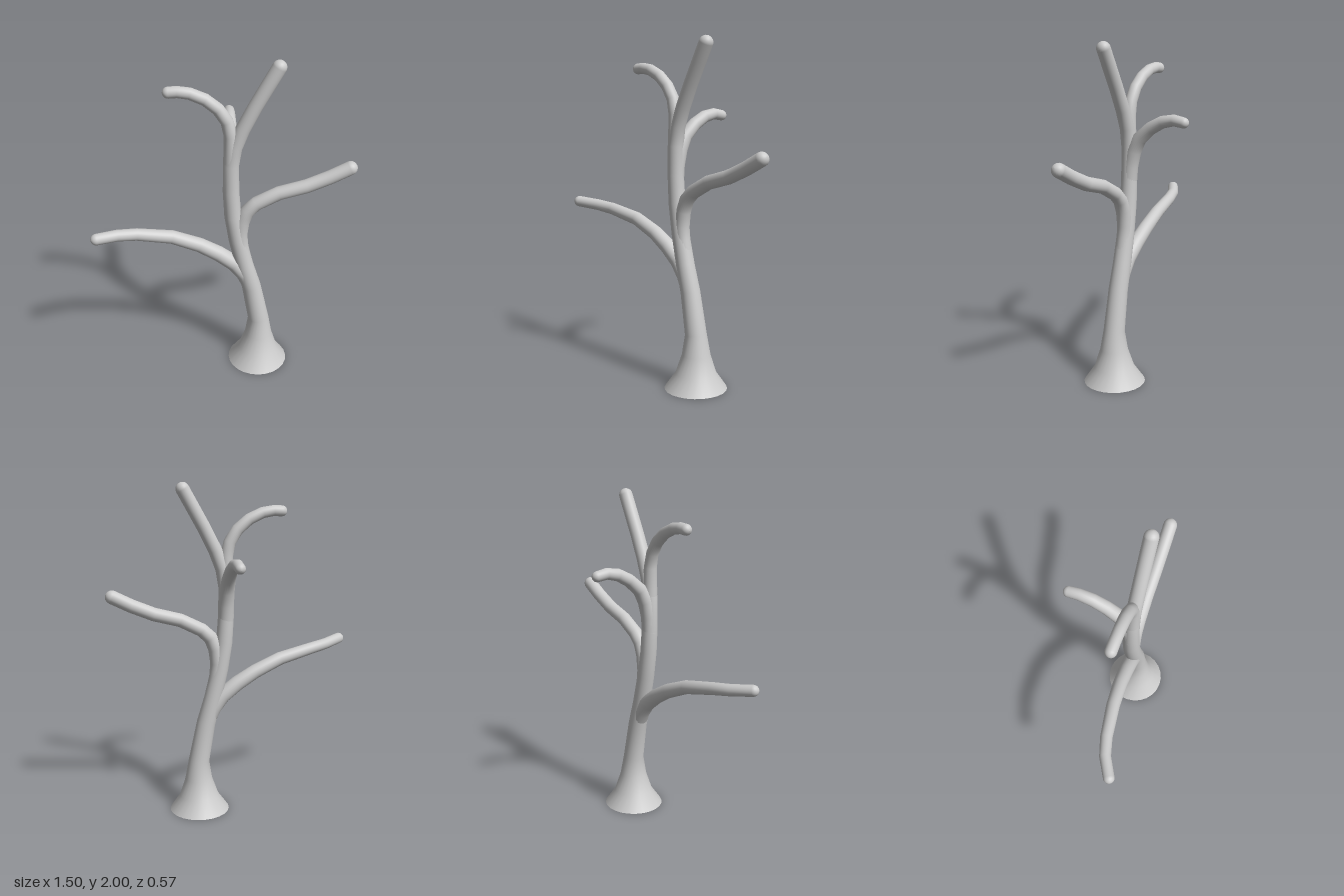
import * as THREE from 'three';

const material = new THREE.MeshStandardMaterial({ color: 0xcccccc });
const SIDES = 24;
const Z = 0.1025; // depth of the plane most limbs grow in

// Tapered limb skinned over rings [x, y, z, radius], ending in a rounded tip
function limb(name, rings) {
  const centers = rings.map(([x, y, z]) => new THREE.Vector3(x, y, z));
  const last = rings.length - 1;
  const positions = [], indices = [];
  const u = new THREE.Vector3(1, 0, 0), v = new THREE.Vector3(), t = new THREE.Vector3(0, 1, 0);
  let count = 0;

  const addRing = (center, radius) => {
    for (let j = 0; j < SIDES; j++) {
      const a = (j / SIDES) * Math.PI * 2;
      const p = center.clone().addScaledVector(u, Math.cos(a) * radius).addScaledVector(v, Math.sin(a) * radius);
      positions.push(p.x, p.y, p.z);
    }
    count++;
  };

  centers.forEach((c, i) => {
    // the first ring stays level, the others bisect the bend
    if (i > 0) {
      t.subVectors(c, centers[i - 1]).normalize();
      if (i < last) t.add(centers[i + 1].clone().sub(c).normalize()).normalize();
    }
    u.addScaledVector(t, -u.dot(t)).normalize();
    v.crossVectors(t, u);
    addRing(c, rings[i][3]);
  });

  // rounded tip
  const r = rings[last][3];
  for (let k = 1; k <= 6; k++) {
    const a = (k / 6) * Math.PI / 2;
    addRing(centers[last].clone().addScaledVector(t, Math.sin(a) * r), Math.cos(a) * r);
  }

  for (let i = 0; i < count - 1; i++) {
    for (let j = 0; j < SIDES; j++) {
      const k = (j + 1) % SIDES;
      const a = i * SIDES + j, b = i * SIDES + k;
      const c = b + SIDES, d = a + SIDES;
      indices.push(a, b, c, a, c, d);
    }
  }
  const geometry = new THREE.BufferGeometry();
  geometry.setAttribute('position', new THREE.Float32BufferAttribute(positions, 3));
  geometry.setIndex(indices);
  geometry.computeVertexNormals();
  const mesh = new THREE.Mesh(geometry, material);
  mesh.name = name;
  return mesh;
}

export function createModel() {
  const tree = new THREE.Group();
  tree.name = 'bareTree';

  // Flared trunk running up into the tallest branch
  tree.add(limb('trunk', [
    [0.215, 0, Z, 0.182], [0.217, 0.09, Z, 0.119], [0.218, 0.2, Z, 0.083], [0.215, 0.32, Z, 0.063],
    [0.168, 0.56, Z, 0.057], [0.125, 0.71, Z, 0.054], [0.08, 0.9, Z, 0.051], [0.053, 1.06, Z, 0.049],
    [0.042, 1.22, Z, 0.047], [0.041, 1.39, Z, 0.045], [0.062, 1.5, Z, 0.042], [0.105, 1.61, Z, 0.041],
    [0.172, 1.745, Z, 0.04], [0.235, 1.86, Z, 0.04], [0.29, 1.96, Z, 0.04],
  ]));

  // Flat underside of the trunk
  const base = new THREE.Mesh(new THREE.CircleGeometry(0.182, SIDES), material);
  base.name = 'trunkUnderside';
  base.rotation.x = Math.PI / 2;
  base.position.set(0.215, 0, Z);
  tree.add(base);

  // Long low branch, bending forward at its end
  tree.add(limb('lowerRightBranch', [
    [0.168, 0.55, Z, 0.05], [0.125, 0.65, Z, 0.05], [0.065, 0.725, Z, 0.048], [-0.03, 0.797, Z, 0.046],
    [-0.14, 0.862, 0.105, 0.043], [-0.3, 0.93, 0.118, 0.04], [-0.5, 0.972, 0.15, 0.036],
    [-0.61, 0.988, 0.183, 0.034], [-0.72, 1.004, 0.245, 0.033],
  ]));

  // Middle branch, sweeping out the other way
  tree.add(limb('lowerLeftBranch', [
    [0.155, 0.6, Z, 0.05], [0.125, 0.72, Z, 0.049], [0.1, 0.85, Z, 0.046], [0.095, 0.93, Z, 0.044],
    [0.108, 1.02, Z, 0.043], [0.137, 1.09, Z, 0.042], [0.19, 1.14, Z, 0.041], [0.315, 1.205, Z, 0.04],
    [0.47, 1.248, Z, 0.04], [0.6, 1.304, Z, 0.04], [0.708, 1.36, Z, 0.04],
  ]));

  // High branch arching sideways
  tree.add(limb('upperRightBranch', [
    [0.042, 1.3, Z, 0.044], [0.04, 1.45, Z, 0.042], [0.038, 1.57, Z, 0.038], [0.018, 1.655, Z, 0.036],
    [-0.03, 1.727, Z, 0.035], [-0.1, 1.784, Z, 0.034], [-0.18, 1.819, Z, 0.033],
    [-0.245, 1.829, Z, 0.032], [-0.293, 1.826, Z, 0.032],
  ]));

  // Branch arching to the back
  tree.add(limb('backBranch', [
    [0.043, 1.18, Z, 0.046], [0.042, 1.28, 0.093, 0.045], [0.042, 1.37, 0.07, 0.044],
    [0.042, 1.445, 0.03, 0.041], [0.042, 1.51, -0.045, 0.038], [0.042, 1.55, -0.12, 0.036],
    [0.042, 1.565, -0.195, 0.033], [0.042, 1.555, -0.257, 0.031],
  ]));

  return tree;
}
